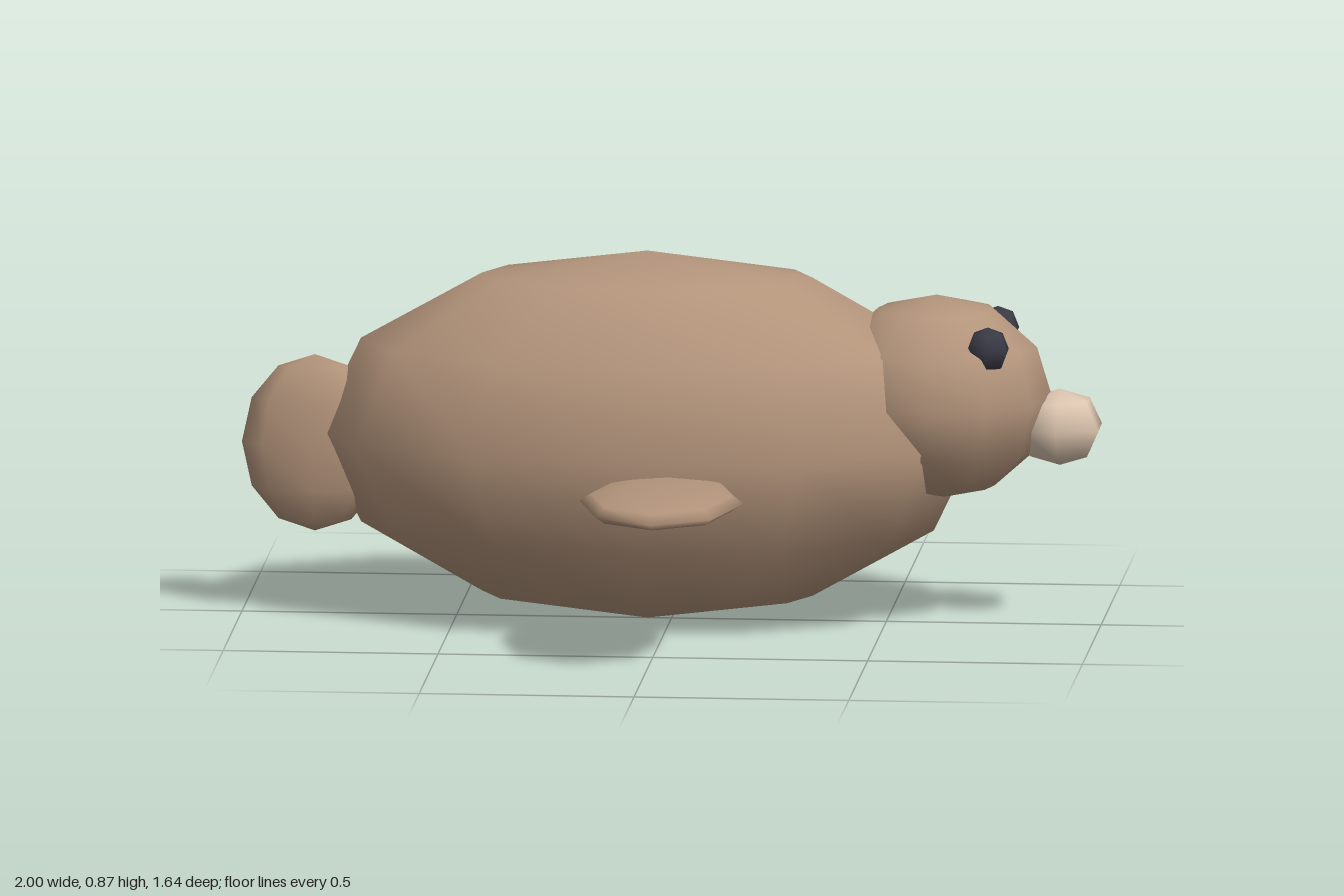
import * as THREE from 'three';

const hide = new THREE.MeshStandardMaterial({ color: 0xb3947b });
const muzzle = new THREE.MeshStandardMaterial({ color: 0xdcc5af });
const dark = new THREE.MeshStandardMaterial({ color: 0x3a3a46 });

// Smooth low-poly ellipsoid with its poles on y and side corners facing z
function ellipsoid(name, material, [rx, ry, rz], position, sides, rings) {
  const geometry = new THREE.SphereGeometry(1, sides, rings);
  geometry.rotateY(Math.PI / 2);
  geometry.scale(rx, ry, rz);
  const mesh = new THREE.Mesh(geometry, material);
  mesh.name = name;
  mesh.position.set(...position);
  return mesh;
}

export function createModel() {
  const seal = new THREE.Group();
  seal.name = 'seal';

  // Torso, head and snout along x
  seal.add(ellipsoid('body', hide, [0.77, 0.433, 0.405], [-0.056, 0.435, 0], 12, 6));
  seal.add(ellipsoid('head', hide, [0.27, 0.24, 0.24], [0.617, 0.535, 0], 12, 6));
  seal.add(ellipsoid('snout', muzzle, [0.108, 0.09, 0.108], [0.904, 0.468, 0], 6, 4));

  // Upright tail fin
  seal.add(ellipsoid('tail', hide, [0.17, 0.208, 0.067], [-0.83, 0.403, 0], 8, 6));

  // Paired flippers and eyes
  for (const [side, s] of [['front', 1], ['back', -1]]) {
    seal.add(ellipsoid(side + 'Flipper', hide, [0.19, 0.037, 0.295], [0.022, 0.373, 0.525 * s], 8, 6));
    seal.add(ellipsoid(side + 'Eye', dark, [0.054, 0.054, 0.054], [0.748, 0.671, 0.137 * s], 6, 4));
  }
  return seal;
}
